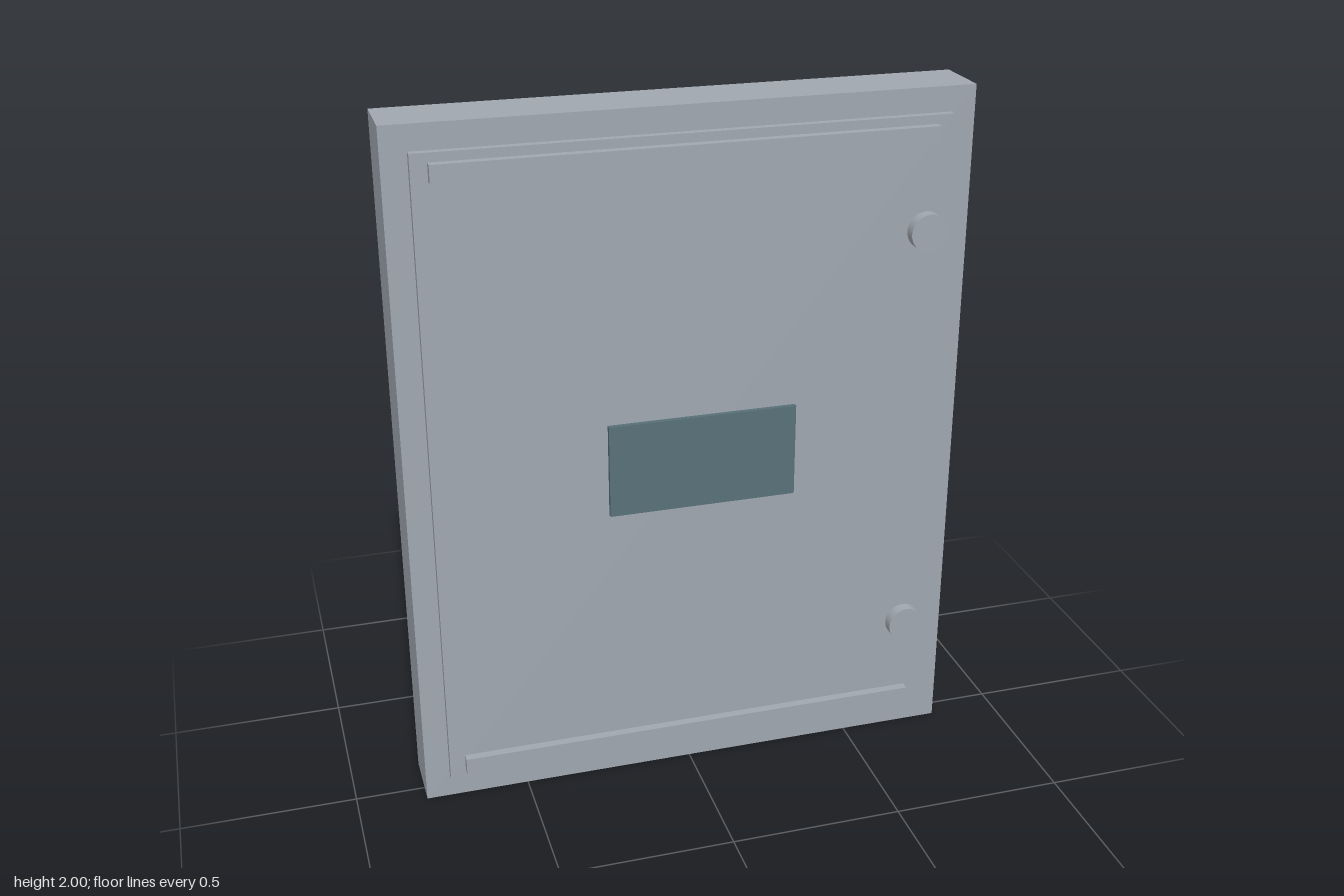
import * as THREE from 'three';

export function createModel() {
  const model = new THREE.Group();
  model.name = 'wallCabinet';

  const paintedMetal = new THREE.MeshStandardMaterial({ color: 0xa0a7b0 });
  paintedMetal.name = 'grey painted metal';
  const labelBlue = new THREE.MeshStandardMaterial({ color: 0x587079 });
  labelBlue.name = 'dark slate blue';

  // Box given by its centre in x and y, its size, and its back and front in z
  function slab(name, x, y, width, height, back, front, material = paintedMetal) {
    const mesh = new THREE.Mesh(new THREE.BoxGeometry(width, height, front - back), material);
    mesh.position.set(x, y, (back + front) / 2);
    mesh.name = name;
    model.add(mesh);
  }

  const doorBack = 0.056, doorFront = 0.078;

  slab('cabinetBody', 0, 1, 1.6, 2, -0.125, doorBack);
  slab('door', 0, 1, 1.46, 1.86, doorBack, doorFront);
  slab('blankPlate', 0.03, 1, 0.54, 0.272, doorFront, 0.092, labelBlue);

  // Stiffening bars along the top and bottom of the door
  slab('topBar', 0, 1.88, 1.37, 0.05, doorFront, 0.103);
  slab('bottomBar', 0, 0.12, 1.37, 0.05, doorFront, 0.103);

  // Round latches, standing slightly proud of the door
  const latchGeometry = new THREE.CylinderGeometry(0.053, 0.053, 0.033, 32);
  latchGeometry.rotateX(Math.PI / 2);
  for (const [name, y] of [['upperLatch', 1.616], ['lowerLatch', 0.387]]) {
    const latch = new THREE.Mesh(latchGeometry, paintedMetal);
    latch.position.set(0.66, y, 0.1085);
    latch.name = name;
    model.add(latch);
  }

  return model;
}
